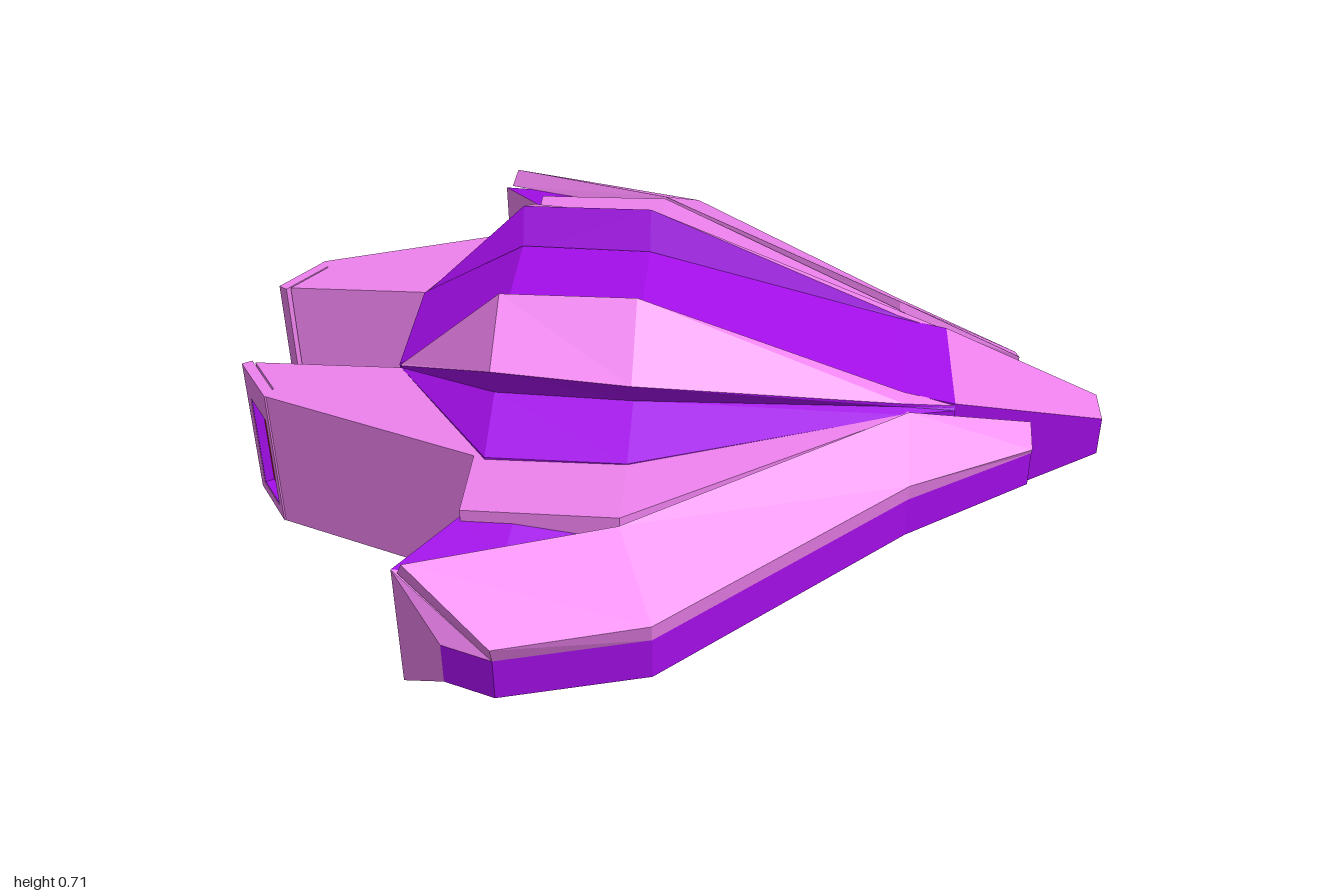
import * as THREE from 'three';

const material = (color) => new THREE.MeshStandardMaterial({ color, flatShading: true });
const pink = material(0xee82ee), purple = material(0xa40eea), red = material(0xc81010);

// Solid through rings of [x, y, z] points; mats gives the colour of each ring edge.
// End caps pair the first ring points with the last ones.
function loft(name, rings, mats, capMat) {
  const n = rings[0].length;
  const quads = [];
  for (let k = 0; k < rings.length - 1; k++) {
    for (let i = 0; i < n; i++) {
      const j = (i + 1) % n;
      const q = [rings[k][i], rings[k][j], rings[k + 1][j], rings[k + 1][i]];
      quads.push([mats[i % mats.length], q]);
    }
  }
  const first = rings[0], last = rings[rings.length - 1];
  for (let i = 0; i < n / 2 - 1; i++) {
    const o = n - 1 - i;
    quads.push([capMat, [first[i], first[o], first[o - 1], first[i + 1]]]);
    quads.push([capMat, [last[i], last[i + 1], last[o - 1], last[o]]]);
  }
  // signed volume tells whether the faces point outwards
  let volume = 0;
  const v = (p) => new THREE.Vector3(...p);
  for (const [, [a, b, c, d]] of quads) {
    volume += v(a).dot(v(b).cross(v(c))) + v(a).dot(v(c).cross(v(d)));
  }
  const group = new THREE.Group();
  group.name = name;
  for (const mat of new Set(quads.map((q) => q[0]))) {
    const pos = [];
    for (const [m, [a, b, c, d]] of quads) {
      if (m !== mat) continue;
      pos.push(...(volume > 0 ? [a, b, c, a, c, d] : [a, c, b, a, d, c]).flat());
    }
    const geo = new THREE.BufferGeometry();
    geo.setAttribute('position', new THREE.Float32BufferAttribute(pos, 3));
    geo.computeVertexNormals();
    const mesh = new THREE.Mesh(geo, mat);
    mesh.name = name + (mat === pink ? 'Plating' : 'Body');
    group.add(mesh);
  }
  return group;
}

// Adds x to a cross-section of [z, y] pairs
const at = (x, section) => section.map(([z, y]) => [x, y, z]);

// Copy of a mesh on the other side of the ship, with corners reordered
function mirrored(mesh) {
  const src = mesh.geometry.index ? mesh.geometry.toNonIndexed() : mesh.geometry.clone();
  src.applyMatrix4(mesh.matrixWorld);
  const p = src.attributes.position, pos = [];
  for (let i = 0; i < p.count; i += 3) {
    for (const k of [i, i + 2, i + 1]) pos.push(p.getX(k), p.getY(k), -p.getZ(k));
  }
  const geo = new THREE.BufferGeometry();
  geo.setAttribute('position', new THREE.Float32BufferAttribute(pos, 3));
  geo.computeVertexNormals();
  const copy = new THREE.Mesh(geo, mesh.material);
  copy.name = mesh.name;
  return copy;
}

const rect = (Type, x0, y0, x1, y1) => new Type(
  [[x0, y0], [x1, y0], [x1, y1], [x0, y1]].map(([x, y]) => new THREE.Vector2(x, y)));

function extruded(name, shape, depth, mat) {
  const mesh = new THREE.Mesh(new THREE.ExtrudeGeometry(shape, { depth, bevelEnabled: false }), mat);
  mesh.name = name;
  return mesh;
}

// Rear fin with a recessed thruster panel in its slanted end
function rearFin() {
  const group = new THREE.Group();
  group.name = 'rearFin';
  const plan = [[-0.97, 0.165], [-0.901, 0.268], [-0.91, 0.3], [-0.38, 0.5], [-0.38, 0.165]];
  const body = extruded('finBody', new THREE.Shape(plan.map(([x, z]) => new THREE.Vector2(x, -z))), 0.355, pink);
  body.rotation.x = -Math.PI / 2;
  body.position.y = 0.13;
  group.add(body);

  const end = new THREE.Group();
  end.name = 'thruster';
  const frameShape = rect(THREE.Shape, 0, 0, 0.155, 0.355);
  frameShape.holes.push(rect(THREE.Path, 0.03, 0.03, 0.13, 0.275));
  const linerShape = rect(THREE.Shape, 0.03, 0.03, 0.13, 0.275);
  linerShape.holes.push(rect(THREE.Path, 0.033, 0.033, 0.127, 0.272));
  const panel = extruded('thrusterPanel', rect(THREE.Shape, 0.032, 0.032, 0.128, 0.273), 0.003, red);
  end.add(extruded('thrusterFrame', frameShape, 0.025, pink),
    extruded('thrusterLiner', linerShape, 0.024, purple), panel);
  end.rotation.y = -Math.atan2(0.83, 0.555);
  end.position.set(-0.979, 0.13, 0.158);
  group.add(end);
  return group;
}

export function createModel() {
  const model = new THREE.Group();
  model.name = 'starship';

  // Central hull and nose
  const box = (x, w, top, bottom) => at(x, [[-w, top], [w, top], [w, bottom], [-w, bottom]]);
  model.add(loft('hull', [
    box(-0.635, 0.157, 0.49, 0.13), box(-0.385, 0.157, 0.63, 0), box(-0.08, 0.157, 0.625, 0),
    box(0.52, 0.16, 0.46, 0.07), box(0.64, 0.16, 0.435, 0.115),
  ], [purple], purple));
  model.add(loft('nose', [box(0.64, 0.16, 0.435, 0.115), box(1, 0.05, 0.33, 0.23)],
    [pink, purple, pink, purple], purple));

  const side = new THREE.Group();

  // Shoulder: raised ridge above, shelf, and keel plating below
  side.add(loft('shoulder', [
    at(-0.63, [[0.155, 0.485], [0.157, 0.49], [0.165, 0.49], [0.165, 0.485], [0.167, 0.48], [0.167, 0.13], [0.16, 0.13], [0.155, 0.13]]),
    at(-0.385, [[0.155, 0.61], [0.2, 0.715], [0.375, 0.625], [0.335, 0.545], [0.5, 0.49], [0.5, 0.13], [0.36, 0.08], [0.155, 0]]),
    at(-0.08, [[0.155, 0.61], [0.2, 0.715], [0.375, 0.6], [0.335, 0.535], [0.5, 0.487], [0.5, 0.13], [0.36, 0.08], [0.155, 0]]),
    at(0.52, [[0.155, 0.45], [0.163, 0.465], [0.2, 0.458], [0.2, 0.45], [0.225, 0.445], [0.225, 0.13], [0.2, 0.105], [0.157, 0.07]]),
    at(0.64, [[0.15, 0.425], [0.152, 0.43], [0.16, 0.43], [0.162, 0.425], [0.165, 0.42], [0.165, 0.13], [0.16, 0.12], [0.155, 0.115]]),
  ], [purple, pink, purple, purple, purple, purple, pink, purple], purple));

  // Flat plate between shoulder and wing
  const plate = (x, z, top) => at(x, [[0.15, top], [z, top], [z, 0.132], [0.15, 0.132]]);
  side.add(loft('wingRoot', [plate(-0.41, 0.675, 0.485), plate(-0.08, 0.68, 0.485), plate(0.53, 0.22, 0.445)],
    [pink], pink));

  // Outer wing, sweeping forward to a narrow tip
  side.add(loft('wing', [
    [[-0.41, 0.46, 0.66], [-0.53, 0.435, 0.81], [-0.42, 0.33, 0.91], [-0.42, 0.23, 0.91], [-0.53, 0.13, 0.81], [-0.41, 0.13, 0.66]],
    [[-0.3, 0.46, 0.66], [-0.31, 0.43, 0.8], [-0.31, 0.33, 0.95], [-0.31, 0.23, 0.95], [-0.31, 0.13, 0.8], [-0.3, 0.13, 0.66]],
    [[-0.08, 0.46, 0.66], [0, 0.42, 0.66], [0, 0.33, 0.87], [0, 0.23, 0.87], [0, 0.13, 0.68], [-0.08, 0.13, 0.66]],
    [[0.53, 0.44, 0.21], [0.53, 0.42, 0.24], [0.53, 0.33, 0.385], [0.53, 0.23, 0.385], [0.53, 0.13, 0.24], [0.53, 0.13, 0.21]],
    [[0.82, 0.35, 0.13], [0.82, 0.35, 0.14], [0.82, 0.33, 0.195], [0.82, 0.24, 0.195], [0.82, 0.22, 0.14], [0.82, 0.22, 0.13]],
  ], [purple, pink, purple, pink, pink, pink], pink));

  // Armour cap over the wing
  side.add(loft('wingArmour', [
    [[-0.515, 0.435, 0.82], [-0.5, 0.475, 0.84], [-0.31, 0.375, 0.968], [-0.31, 0.33, 0.95]],
    [[-0.08, 0.44, 0.68], [-0.08, 0.48, 0.7], [0, 0.375, 0.88], [0, 0.33, 0.87]],
    [[0.53, 0.435, 0.22], [0.53, 0.46, 0.235], [0.53, 0.375, 0.395], [0.53, 0.33, 0.385]],
    [[0.82, 0.345, 0.13], [0.82, 0.375, 0.135], [0.82, 0.345, 0.203], [0.82, 0.33, 0.195]],
  ], [pink], pink));

  side.add(rearFin());

  // Both sides
  side.name = 'leftOrRightSide';
  side.updateMatrixWorld(true);
  const other = new THREE.Group();
  other.name = 'oppositeSide';
  side.traverse((part) => { if (part.isMesh) other.add(mirrored(part)); });
  model.add(side, other);
  return model;
}
